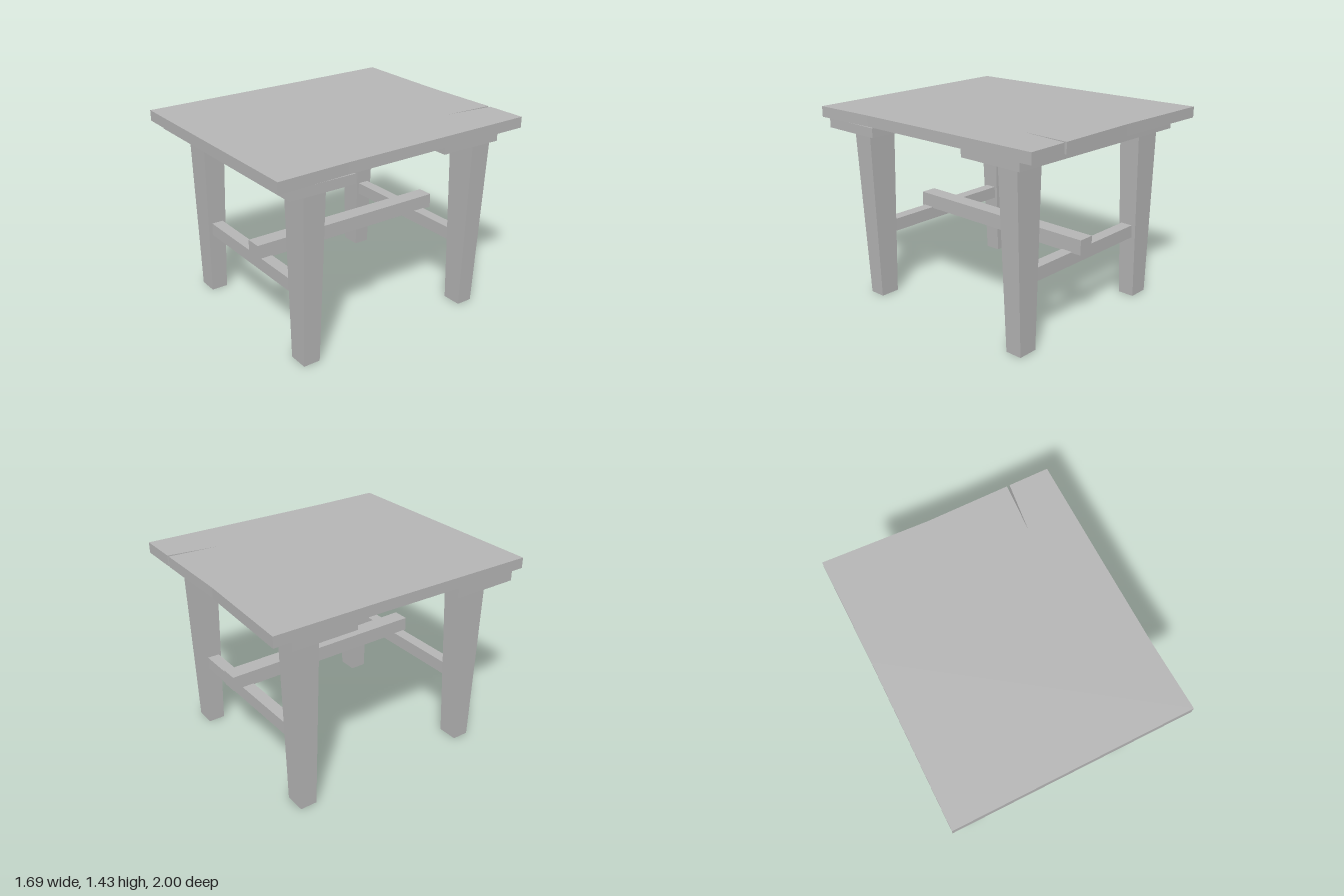
import * as THREE from 'three';

const wood = new THREE.MeshStandardMaterial({ color: 0xb6b6b6 });
wood.name = 'plainGrey';

// A box reshaped by a rule: place(u, v, w) maps each corner (u, v, w in 0..1) to [x, y, z]
function block(name, place) {
  const geometry = new THREE.BoxGeometry(1, 1, 1).translate(0.5, 0.5, 0.5);
  const p = geometry.attributes.position;
  for (let i = 0; i < p.count; i++) {
    p.setXYZ(i, ...place(p.getX(i), p.getY(i), p.getZ(i)));
  }
  geometry.computeVertexNormals();
  const mesh = new THREE.Mesh(geometry, wood);
  mesh.name = name;
  return mesh;
}

const lerp = THREE.MathUtils.lerp;

const bar = (name, x0, x1, y0, y1, z0, z1) =>
  block(name, (u, v, w) => [lerp(x0, x1, u), lerp(y0, y1, v), lerp(z0, z1, w)]);

// Slab with an uneven back edge and a split running in from it
function tabletop() {
  const outline = [
    [-0.845, 1], [0.845, 1], [0.834, 0.5], [0.838, -0.2], [0.845, -0.965],
    [0.55, -0.965], [0.505, -0.6], [0.53, -0.965],
    [-0.08, -0.965], [-0.843, -1], [-0.838, -0.2],
  ];
  const shape = new THREE.Shape(outline.map(([x, z]) => new THREE.Vector2(x, -z)));
  const geometry = new THREE.ExtrudeGeometry(shape, { depth: 0.077, bevelEnabled: false });
  geometry.rotateX(-Math.PI / 2);
  // Rises slightly towards the back
  const p = geometry.attributes.position;
  for (let i = 0; i < p.count; i++) p.setY(i, p.getY(i) + 1.343 - 0.01 * p.getZ(i));
  geometry.computeVertexNormals();
  const mesh = new THREE.Mesh(geometry, wood);
  mesh.name = 'tabletop';
  return mesh;
}

// Wide, slightly skewed board under the top; left/right give [x, back z, front z]
function supportBoard(name, right, left, top) {
  return block(name, (u, v, w) => {
    const [x, back, front] = u < 0.5 ? right : left;
    return [x, v < 0.5 ? lerp(1.26, 1.268, u) : top, lerp(back, front, w)];
  });
}

// Leg tapering downwards; ranges are [min, max]
function leg(name, topX, bottomX, topZ, bottomZ) {
  return block(name, (u, v, w) => [
    lerp(lerp(...bottomX, u), lerp(...topX, u), v),
    v * 1.268,
    lerp(lerp(...bottomZ, w), lerp(...topZ, w), v),
  ]);
}

export function createModel() {
  const table = new THREE.Group();
  table.name = 'table';

  table.add(tabletop());
  table.add(supportBoard('frontSupport', [-0.835, 0.42, 0.915], [0.84, 0.45, 0.92], 1.336));
  table.add(supportBoard('backSupport', [-0.8, -0.85, -0.37], [0.774, -0.815, -0.33], 1.348));

  // Legs
  const sides = [
    ['Right', [-0.74, -0.52], [-0.72, -0.57]],
    ['Left', [0.525, 0.745], [0.545, 0.69]],
  ];
  const rows = [
    ['front', [0.6, 0.762], [0.62, 0.743]],
    ['back', [-0.772, -0.615], [-0.757, -0.635]],
  ];
  for (const [side, topX, bottomX] of sides) {
    for (const [row, topZ, bottomZ] of rows) {
      table.add(leg(`${row}${side}Leg`, topX, bottomX, topZ, bottomZ));
    }
  }

  // Stretchers
  table.add(bar('frontStretcher', -0.565, 0.56, 0.468, 0.562, 0.635, 0.722));
  table.add(bar('backStretcher', -0.565, 0.56, 0.468, 0.562, -0.733, -0.645));
  table.add(bar('longStretcher', 0.03, 0.15, 0.555, 0.663, -0.803, 0.745));

  return table;
}
